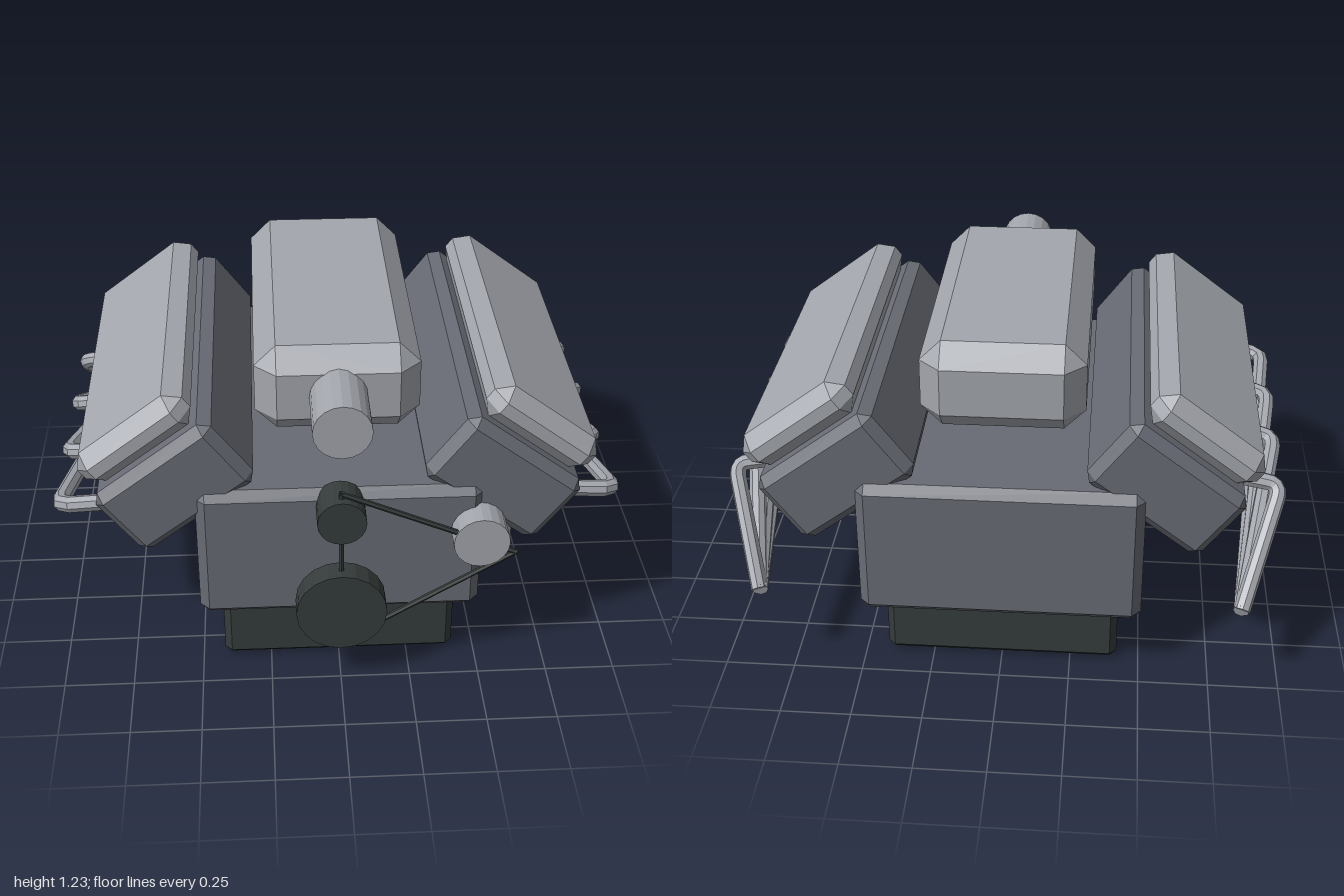
import * as THREE from 'three';
import { ConvexGeometry } from 'three/addons/geometries/ConvexGeometry.js';

const mat = (name, color) => {
  const m = new THREE.MeshStandardMaterial({ color, flatShading: true });
  m.name = name;
  return m;
};

// Box with one flat chamfer on every edge
function chamferBox(w, h, d, b) {
  const pts = [];
  const [x, y, z] = [w / 2, h / 2, d / 2];
  for (const i of [-1, 1]) for (const j of [-1, 1]) for (const k of [-1, 1]) {
    pts.push(
      new THREE.Vector3(i * x, j * (y - b), k * (z - b)),
      new THREE.Vector3(i * (x - b), j * y, k * (z - b)),
      new THREE.Vector3(i * (x - b), j * (y - b), k * z)
    );
  }
  return new ConvexGeometry(pts);
}

export function createModel() {
  const root = new THREE.Group();
  root.name = 'engine';
  const iron = mat('ironGrey', 0x686b74);
  const alloy = mat('lightAlloy', 0xa3a6ad);
  const dark = mat('darkSteel', 0x353c3b);

  const add = (name, geometry, material, x = 0, y = 0, z = 0) => {
    const mesh = new THREE.Mesh(geometry, material);
    mesh.name = name;
    mesh.position.set(x, y, z);
    root.add(mesh);
    return mesh;
  };
  // Chamfered box given by its min/max limits
  const box = (name, material, [x0, x1], [y0, y1], [z0, z1], b) =>
    add(name, chamferBox(x1 - x0, y1 - y0, z1 - z0, b), material,
      (x0 + x1) / 2, (y0 + y1) / 2, (z0 + z1) / 2);
  // Cylinder lying along z
  const drum = (name, material, r, x, y, z0, z1) =>
    add(name, new THREE.CylinderGeometry(r, r, z1 - z0, 20).rotateX(Math.PI / 2),
      material, x, y, (z0 + z1) / 2);

  // Block, oil pan and intake
  box('engineBlock', iron, [-0.5, 0.5], [0.24, 0.765], [-0.725, 0.675], 0.033);
  box('oilPan', dark, [-0.42, 0.42], [0, 0.26], [-0.63, 0.615], 0.025);
  box('intakePlenum', alloy, [-0.285, 0.285], [0.912, 1.234], [-0.6, 0.552], 0.075);
  drum('intakePipe', alloy, 0.1, 0, 1.073, 0.45, 0.78);

  // Pulleys and alternator
  drum('crankPulley', dark, 0.16, 0, 0.325, 0.7, 0.785);
  drum('pumpPulley', dark, 0.085, 0, 0.705, 0.64, 0.777);
  drum('alternatorPulley', alloy, 0.098, 0.485, 0.59, 0.6, 0.757);
  box('alternatorBody', alloy, [0.4, 0.61], [0.447, 0.7], [0.43, 0.65], 0.04);

  // Drive belt: three straight runs
  const corners = [[0, 0.805], [0.605, 0.54], [0, 0.165]]
    .map(([x, y]) => new THREE.Vector3(x, y, 0.742));
  corners.forEach((a, i) => {
    const b = corners[(i + 1) % 3];
    const dir = b.clone().sub(a);
    const run = add('beltRun', new THREE.CylinderGeometry(0.01, 0.01, dir.length() + 0.015, 6), dark);
    run.position.copy(a).lerp(b, 0.5);
    run.quaternion.setFromUnitVectors(new THREE.Vector3(0, 1, 0), dir.normalize());
  });

  // The two cylinder banks
  const tilt = THREE.MathUtils.degToRad(37);
  for (const s of [1, -1]) {
    const side = s > 0 ? 'left' : 'right';
    const head = add(side + 'CylinderHead', chamferBox(0.51, 0.296, 1.345, 0.035), iron,
      s * 0.568, 0.766, -0.022);
    head.rotation.z = -s * tilt;
    const cover = add(side + 'ValveCover', chamferBox(0.466, 0.145, 1.28, 0.05), alloy,
      s * (0.568 + 0.217 * Math.sin(tilt)), 0.766 + 0.217 * Math.cos(tilt), -0.02);
    cover.rotation.z = -s * tilt;

    // Exhaust runners sweeping back to one outlet
    const end = new THREE.Vector3(s * 0.845, 0.35, -0.765);
    for (const z of [0.58, 0.245, -0.095, -0.43]) {
      const start = new THREE.Vector3(s * 0.74, 0.7, z + 0.01);
      const bend = new THREE.Vector3(s * 0.978, 0.67, z - 0.015);
      const inner = bend.clone().lerp(start, 0.2);
      const out = end.clone().sub(bend).normalize();
      const outer = bend.clone().addScaledVector(out, 0.06);
      const path = new THREE.CurvePath();
      path.add(new THREE.LineCurve3(start, inner));
      path.add(new THREE.QuadraticBezierCurve3(inner, bend, outer));
      path.add(new THREE.LineCurve3(outer, end));
      add(side + 'ExhaustRunner', new THREE.TubeGeometry(path, 40, 0.03, 8), alloy);
      const cap = add(side + 'ExhaustEnd', new THREE.CircleGeometry(0.03, 8), alloy, end.x, end.y, end.z);
      cap.quaternion.setFromUnitVectors(new THREE.Vector3(0, 0, 1), out);
    }
  }
  return root;
}
